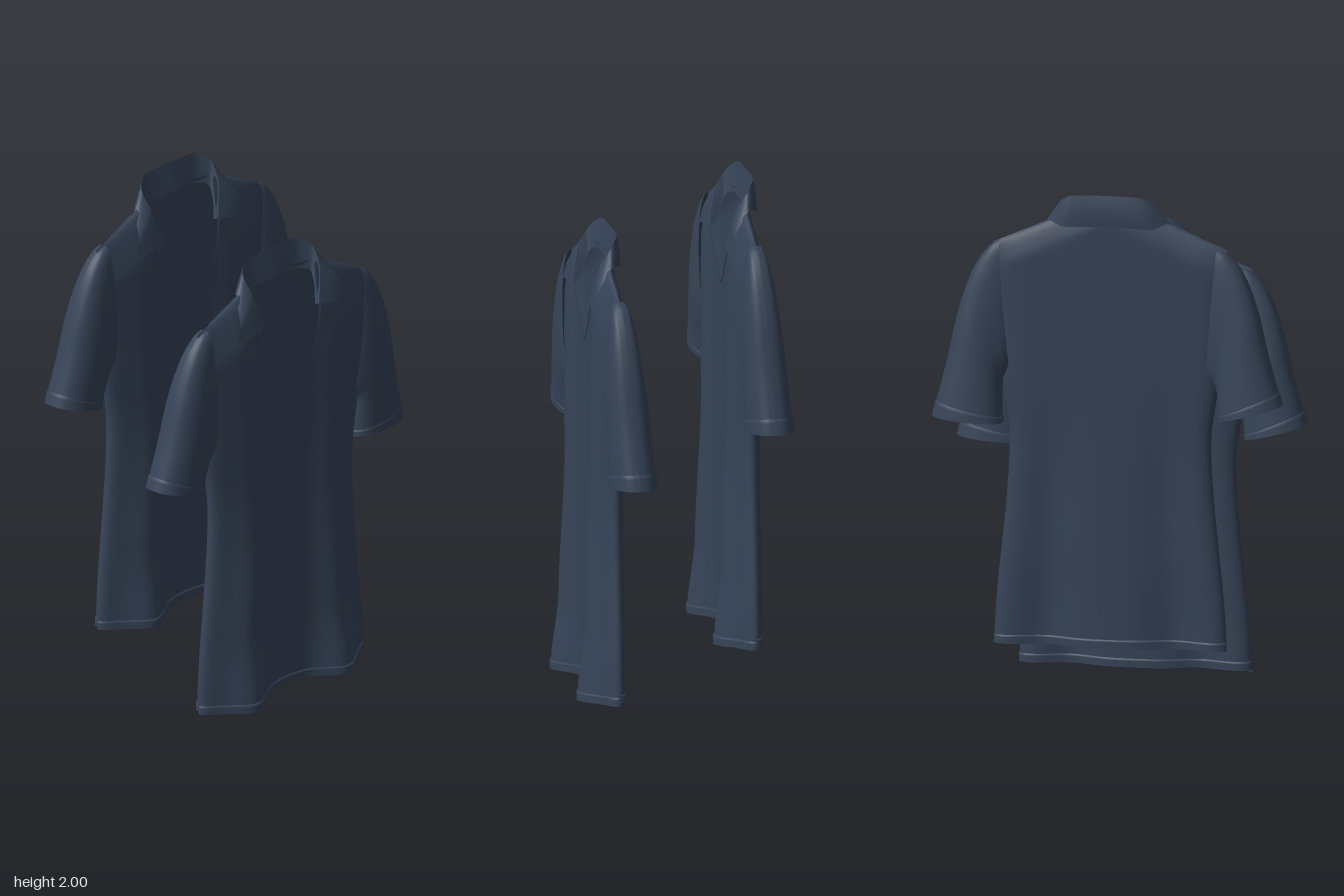
import * as THREE from 'three';

const fabric = new THREE.MeshStandardMaterial({ color: 0x364357, side: THREE.DoubleSide });
fabric.name = 'navy fabric';

// Smooth sheet: f(u, v) returns [x, y, z] for u, v in 0..1
function sheet(name, nu, nv, f) {
  const pos = [], idx = [];
  for (let j = 0; j <= nv; j++)
    for (let i = 0; i <= nu; i++) pos.push(...f(i / nu, j / nv));
  for (let j = 0; j < nv; j++)
    for (let i = 0; i < nu; i++) {
      const a = j * (nu + 1) + i, b = a + 1, c = a + nu + 1, d = c + 1;
      idx.push(a, b, d, a, d, c);
    }
  const g = new THREE.BufferGeometry();
  g.setAttribute('position', new THREE.Float32BufferAttribute(pos, 3));
  g.setIndex(idx);
  g.computeVertexNormals();
  const m = new THREE.Mesh(g, fabric);
  m.name = name;
  return m;
}

// Smoothly interpolated curve through [y, value] pairs
function profile(points) {
  const ease = t => t * t * (3 - 2 * t);
  return y => {
    let i = 0;
    while (i < points.length - 2 && y > points[i + 1][0]) i++;
    const [y0, a] = points[i], [y1, b] = points[i + 1];
    return a + (b - a) * ease(THREE.MathUtils.clamp((y - y0) / (y1 - y0), 0, 1));
  };
}

// Torso shape
const halfWidth = profile([[0, 0.453], [0.84, 0.393], [1.12, 0.425], [1.6, 0.458]]);
const frontFold = profile([[0, 0.08], [0.3, 0.05], [0.9, 0.03], [1.3, 0.025], [1.7, 0.008]]);
const backFold = profile([[0, 0.045], [0.5, 0.025], [1.2, 0.004]]);
const shoulderY = z => 1.715 - (Math.abs(z) - 0.2) * 0.45;
const neckY = z => 1.37 + 1.2 * Math.hypot(z, 0.018);

function torsoPoint(s, y, front, lift = 0) {
  const z = s * halfWidth(y);
  const edge = Math.sqrt(Math.max(0, 1 - s ** 8));
  const d = Math.max(0, shoulderY(z) - y);
  const round = Math.sqrt(Math.min(1, d / (front ? 0.17 : 0.1)));
  const wave = Math.exp(-(((Math.abs(s) - 0.56) / 0.24) ** 2));
  const x = front
    ? 0.261 + edge * round * (0.046 + frontFold(y) * wave) + lift
    : 0.261 - edge * round * (0.045 - backFold(y) * wave) - lift;
  return [x, y, z * (1 + lift) + 0.006];
}

const hemY = (s, front) => (front ? 0.016 - 0.016 * Math.exp(-(((Math.abs(s) - 0.56) / 0.3) ** 2)) : 0.026);
const column = u => Math.sin((u - 0.5) * Math.PI);

function topY(s, front) {
  const z = s * 0.45;
  if (front && Math.abs(z) < 0.16) return neckY(z);
  return Math.min(1.71, shoulderY(z));
}

const panel = front => sheet(front ? 'frontPanel' : 'backPanel', 96, 40, (u, v) => {
  const s = column(front ? 1 - u : u), y0 = hemY(s, front);
  return torsoPoint(s, y0 + (topY(s, front) - y0) * Math.sin(v * Math.PI / 2), front);
});

// Bands stand slightly proud and turn back to the cloth at the seam
const hem = front => sheet(front ? 'frontHem' : 'backHem', 96, 8, (u, v) => {
  const s = column(front ? 1 - u : u);
  return torsoPoint(s, hemY(s, front) + 0.035 * v, front, v === 1 ? -0.001 : 0.004);
});

const neckTrim = () => sheet('neckTrim', 48, 8, (u, v) => {
  const z = (0.5 - u) * 0.31;
  return torsoPoint(z / 0.45, neckY(z) - 0.03 * v, true, v === 1 ? -0.001 : 0.003);
});

// Sleeve sections: outer z, outer y, inner z, inner y, centre x, half depth
const SLEEVE = [
  [0.425, 1.612, 0.385, 1.12, 0.259, 0.052],
  [0.465, 1.590, 0.395, 1.10, 0.258, 0.061],
  [0.525, 1.515, 0.415, 1.075, 0.256, 0.071],
  [0.58, 1.380, 0.425, 1.05, 0.249, 0.079],
  [0.625, 1.20, 0.433, 1.01, 0.240, 0.084],
  [0.68, 1.01, 0.44, 0.945, 0.230, 0.089],
];

function sleevePoint(side, a, t, grow) {
  const f = t * (SLEEVE.length - 1), i = Math.min(Math.floor(f), SLEEVE.length - 2);
  const at = n => SLEEVE[THREE.MathUtils.clamp(n, 0, SLEEVE.length - 1)];
  // Catmull-Rom blend of neighbouring sections
  const k = f - i;
  const [oz, oy, iz, iy, cx, hx] = SLEEVE[i].map((_, c) => {
    const p0 = at(i - 1)[c], p1 = at(i)[c], p2 = at(i + 1)[c], p3 = at(i + 2)[c];
    return p1 + 0.5 * k * (p2 - p0 + k * (2 * p0 - 5 * p1 + 4 * p2 - p3 + k * (3 * (p1 - p2) + p3 - p0)));
  });
  const drop = side < 0 ? t * t : 0; // one sleeve hangs slightly lower
  const oY = oy - 0.09 * drop, iY = iy - 0.045 * drop, iZ = iz - 0.03 * drop;
  // Squared-off oval near the shoulder, rounder at the cuff
  const power = 0.55 + 0.25 * t;
  const c = Math.cos(a) * grow;
  const n = Math.sign(Math.sin(a)) * Math.abs(Math.sin(a)) ** power * grow;
  return [
    cx + hx * n,
    (oY + iY) / 2 + (oY - iY) / 2 * c,
    side * ((oz + iZ) / 2 + (oz - iZ) / 2 * c),
  ];
}

function sleeve(side) {
  const g = new THREE.Group();
  g.name = side > 0 ? 'leftSleeve' : 'rightSleeve';
  const dir = side * Math.PI * 2;
  g.add(sheet('sleeveTube', 48, 25, (u, v) => sleevePoint(side, u * dir, v, 1)));
  g.add(sheet('cuff', 48, 8, (u, v) => sleevePoint(side, u * dir, 0.93 + 0.07 * v, v === 0 ? 0.99 : 1.025)));
  return g;
}

// Collar stations from the back centre to the front tip: inner edge, fold, outer edge
const COLLAR = [
  [[0.236, 1.695, 0], [0.212, 1.81, 0], [0.203, 1.69, 0]],
  [[0.232, 1.69, 0.12], [0.212, 1.805, 0.14], [0.203, 1.685, 0.17]],
  [[0.250, 1.67, 0.175], [0.245, 1.765, 0.195], [0.250, 1.70, 0.24]],
  [[0.275, 1.62, 0.172], [0.290, 1.69, 0.188], [0.314, 1.61, 0.283]],
  [[0.300, 1.55, 0.15], [0.322, 1.56, 0.152], [0.328, 1.53, 0.312]],
];

function collar() {
  const mirrored = COLLAR.slice(1).reverse().map(st => st.map(([x, y, z]) => [x, y, -z]));
  const stations = [...mirrored, ...COLLAR];
  const rails = [0, 1, 2].map(r =>
    new THREE.CatmullRomCurve3(stations.map(st => new THREE.Vector3(...st[r])), false, 'catmullrom', 0.35));
  const g = new THREE.Group();
  g.name = 'collar';
  const leaf = (name, from, to, bulge) => sheet(name, 48, 4, (u, v) => {
    const p = rails[from].getPoint(u).lerp(rails[to].getPoint(u), v);
    p.x += bulge * Math.sin(v * Math.PI) * (2 * Math.abs(2 * u - 1) - 1);
    return p.toArray();
  });
  g.add(leaf('collarStand', 0, 1, 0), leaf('collarLeaf', 1, 2, 0.008));
  return g;
}

function shirt(name) {
  const g = new THREE.Group();
  g.name = name;
  g.add(panel(true), panel(false), hem(true), hem(false), neckTrim());
  g.add(sleeve(1), sleeve(-1), collar());
  return g;
}

export function createModel() {
  const model = new THREE.Group();
  model.name = 'poloShirts';
  const lower = shirt('lowerShirt');
  const upper = shirt('upperShirt');
  upper.position.set(-0.535, 0.195, 0);
  model.add(lower, upper);
  return model;
}
